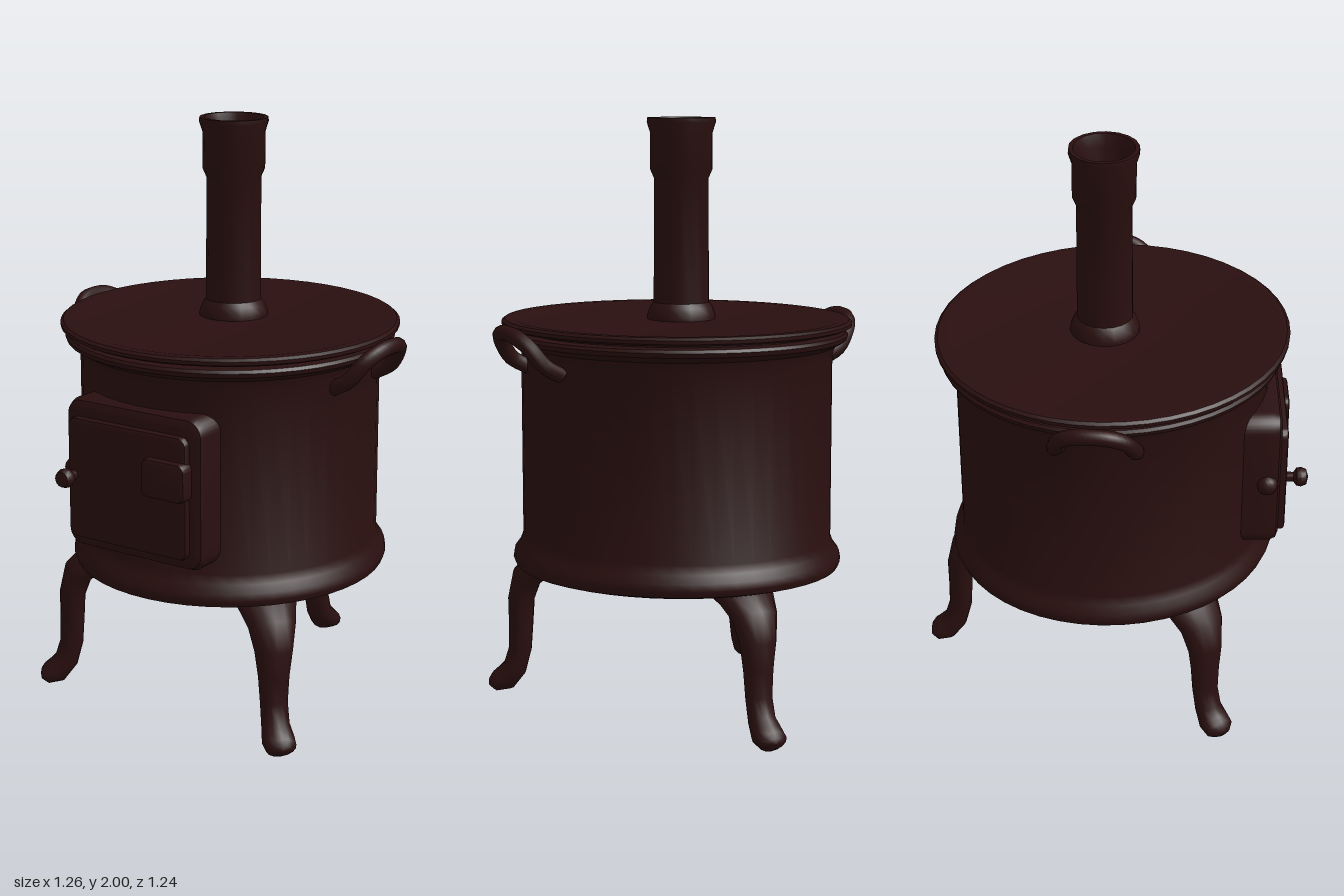
import * as THREE from 'three';
import { toCreasedNormals } from 'three/addons/utils/BufferGeometryUtils.js';

export function createModel() {
  const iron = new THREE.MeshStandardMaterial({ color: 0x2a0f0f });
  iron.name = 'darkIron';
  const model = new THREE.Group();
  model.name = 'stove';
  // The drum axis sits slightly off the origin
  const stove = new THREE.Group();
  stove.name = 'stoveAssembly';
  stove.position.set(0.035, 0, -0.03);
  model.add(stove);

  const add = (parent, name, geometry) => {
    const mesh = new THREE.Mesh(geometry, iron);
    mesh.name = name;
    parent.add(mesh);
    return mesh;
  };
  const lathe = (points, sides) => toCreasedNormals(
    new THREE.LatheGeometry(points.map(([r, y]) => new THREE.Vector2(r, y)), sides), 0.6);
  // Group whose local +z points outward towards (x, z)
  const facing = (name, x, z) => {
    const group = new THREE.Group();
    group.name = name;
    group.rotation.y = Math.atan2(x, z);
    stove.add(group);
    return group;
  };

  // Drum with foot moulding and flared rim
  const drum = add(stove, 'drum', lathe([
    [0, 0.49], [0.5, 0.49], [0.53, 0.5], [0.538, 0.52], [0.534, 0.545], [0.516, 0.57], [0.505, 0.6],
    [0.505, 1.22], [0.516, 1.25], [0.55, 1.27], [0.555, 1.285], [0.548, 1.295], [0.51, 1.298], [0.51, 1.32], [0, 1.32],
  ], 48));
  drum.scale.z = 1.05;

  // Lid plate
  const lid = add(stove, 'lid', lathe([
    [0, 1.308], [0.555, 1.308], [0.569, 1.315], [0.57, 1.327], [0.56, 1.335], [0.53, 1.335], [0.51, 1.331], [0, 1.335],
  ], 48));
  lid.scale.z = 1.045;

  // Hollow flue pipe with collars
  const flue = add(stove, 'flue', lathe([
    [0.116, 1.33], [0.116, 1.345], [0.105, 1.375], [0.093, 1.39], [0.091, 1.8], [0.104, 1.83], [0.104, 1.95],
    [0.115, 1.985], [0.114, 2], [0.1, 2], [0.086, 1.96], [0.08, 1.5], [0, 1.5],
  ], 18));
  flue.position.set(0.008, 0, -0.025);

  // Curved legs: radius, height, half thickness, half width
  const sections = [
    [0.39, 0.5, 0, 0], [0.4, 0.5, 0.05, 0.11], [0.47, 0.475, 0.055, 0.1], [0.528, 0.42, 0.052, 0.08],
    [0.55, 0.34, 0.045, 0.064], [0.552, 0.25, 0.042, 0.052], [0.556, 0.16, 0.04, 0.046], [0.576, 0.09, 0.042, 0.047],
    [0.61, 0.05, 0.045, 0.055], [0.645, 0.037, 0.035, 0.052], [0.664, 0.036, 0.018, 0.03], [0.668, 0.036, 0, 0],
  ];
  const legGeometry = () => {
    const sides = 14, positions = [], index = [];
    sections.forEach(([r, y, a, b], i) => {
      const p = sections[Math.max(i - 1, 0)], n = sections[Math.min(i + 1, sections.length - 1)];
      const d = new THREE.Vector2(n[0] - p[0], n[1] - p[1]).normalize();
      for (let j = 0; j < sides; j++) {
        const c = Math.cos(j / sides * Math.PI * 2) * a, s = Math.sin(j / sides * Math.PI * 2) * b;
        positions.push(s, y - d.x * c, r + d.y * c);
        if (i === 0) continue;
        const k = (j + 1) % sides, lo = (i - 1) * sides, hi = i * sides;
        index.push(lo + j, lo + k, hi + j, lo + k, hi + k, hi + j);
      }
    });
    const g = new THREE.BufferGeometry();
    g.setAttribute('position', new THREE.Float32BufferAttribute(positions, 3));
    g.setIndex(index);
    g.computeVertexNormals();
    return g;
  };
  const leg = legGeometry();
  [['rightLeg', -0.62, 0.085], ['frontLeg', 0.245, 0.6], ['backLeg', 0.295, -0.55]]
    .forEach(([name, x, z]) => add(facing(name, x, z), name + 'Casting', leg));

  // Arched carrying handles on opposite sides
  const arch = new THREE.CatmullRomCurve3([
    [-0.125, 1.185, 0.49], [-0.128, 1.22, 0.55], [-0.105, 1.28, 0.595], [-0.05, 1.312, 0.62],
    [0.05, 1.312, 0.62], [0.105, 1.28, 0.595], [0.128, 1.22, 0.55], [0.125, 1.185, 0.49],
  ].map((p) => new THREE.Vector3(...p)));
  const handle = new THREE.TubeGeometry(arch, 32, 0.026, 10);
  add(facing('leftHandle', 0.53, 0.28), 'leftHandleBar', handle);
  add(facing('rightHandle', -0.5, -0.32), 'rightHandleBar', handle);

  // Bevelled plates of the fire door
  const rounded = (w, h, r) => {
    const s = new THREE.Shape();
    [[w - r, h - r, 0], [r - w, h - r, 1], [r - w, r - h, 2], [w - r, r - h, 3]]
      .forEach(([x, y, q]) => s.absarc(x, y, r, q * Math.PI / 2, (q + 1) * Math.PI / 2));
    return s;
  };
  const plate = (w, h, r, z0, z1, bevel) => {
    const g = new THREE.ExtrudeGeometry(rounded(w - bevel, h - bevel, r), {
      depth: z1 - z0 - 2 * bevel, bevelSize: bevel, bevelThickness: bevel, bevelSegments: 2, curveSegments: 4,
    });
    g.translate(0, 0, z0 + bevel);
    return toCreasedNormals(g, 0.6);
  };
  const door = facing('fireDoor', -0.455, 0.89);
  add(door, 'doorFrame', plate(0.272, 0.255, 0.03, 0.3, 0.56, 0.03)).position.y = 0.885;
  add(door, 'doorPanel', plate(0.235, 0.205, 0.02, 0.5, 0.582, 0.012)).position.set(-0.01, 0.875, 0);
  add(door, 'doorLatch', plate(0.085, 0.065, 0.015, 0.54, 0.607, 0.012)).position.set(0.15, 0.935, 0);

  // Door knob on a short stem
  const knob = add(door, 'doorKnob', lathe([
    [0, 0], [0.018, 0], [0.016, 0.045], [0.03, 0.055], [0.033, 0.07], [0.026, 0.088], [0, 0.095],
  ], 12));
  knob.rotation.x = Math.PI / 2;
  knob.position.set(-0.22, 0.885, 0.56);

  // Side catch beside the door
  const catchBlock = add(door, 'doorCatch', new THREE.SphereGeometry(0.036, 12, 8));
  catchBlock.position.set(-0.265, 0.885, 0.515);

  return model;
}
